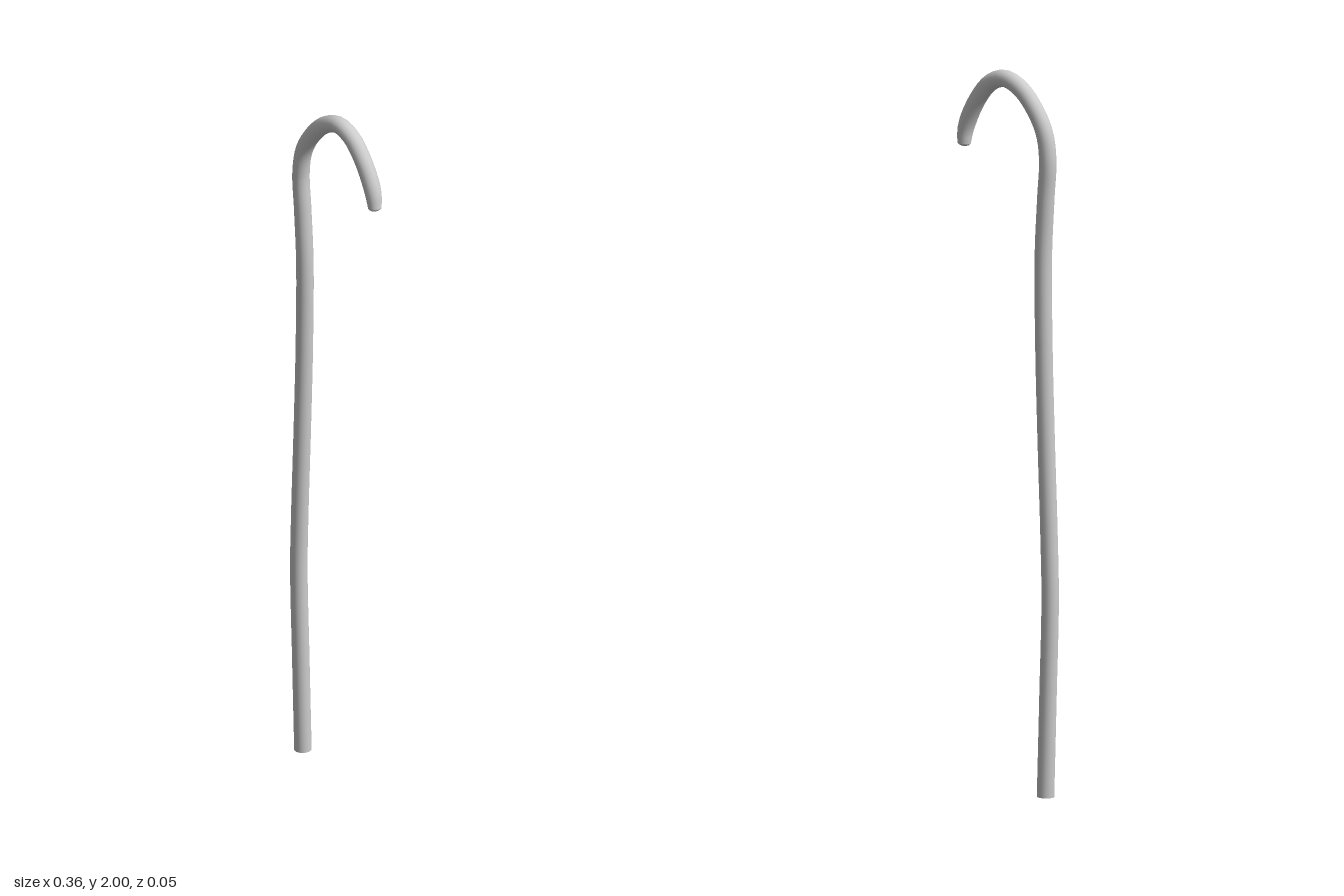
import * as THREE from 'three';

const RADIUS = 0.024;

export function createModel() {
  const group = new THREE.Group();
  const material = new THREE.MeshStandardMaterial({ color: 0xcccccc });
  const add = (name, geometry) => {
    const mesh = new THREE.Mesh(geometry, material);
    mesh.name = name;
    group.add(mesh);
    return mesh;
  };

  // Centre line: gently wavering shaft, then the crook
  const points = [
    [-0.14, 0], [-0.149, 0.28], [-0.157, 0.55], [-0.153, 0.72], [-0.142, 1.0],
    [-0.134, 1.25], [-0.132, 1.5], [-0.141, 1.66], [-0.148, 1.77],
    [-0.134, 1.845], [-0.092, 1.912], [-0.045, 1.955], [0.01, 1.975],
    [0.062, 1.957], [0.105, 1.912], [0.139, 1.855], [0.154, 1.815], [0.159, 1.78],
  ].map(([x, y]) => new THREE.Vector3(x, y, 0));
  const path = new THREE.CatmullRomCurve3(points, false, 'centripetal');
  const segments = 120, sides = 20;
  const shaft = new THREE.TubeGeometry(path, segments, RADIUS, sides);

  // Taper the last rings of the crook towards the tip
  const taperRings = 4, tipScale = 0.78;
  const position = shaft.attributes.position;
  const vertex = new THREE.Vector3();
  for (let ring = segments - taperRings; ring <= segments; ring++) {
    const centre = path.getPointAt(ring / segments);
    const t = (ring - segments + taperRings) / taperRings;
    const scale = 1 - (1 - tipScale) * t * t;
    for (let side = 0; side <= sides; side++) {
      const i = ring * (sides + 1) + side;
      vertex.fromBufferAttribute(position, i).sub(centre).multiplyScalar(scale).add(centre);
      position.setXYZ(i, vertex.x, vertex.y, vertex.z);
    }
  }
  add('caneShaft', shaft);

  // Flat foot
  const foot = add('foot', new THREE.CircleGeometry(RADIUS, sides));
  foot.rotation.x = Math.PI / 2;
  foot.position.copy(points[0]);

  // Shallow rounded tip of the crook
  const dome = new THREE.SphereGeometry(RADIUS * tipScale, sides, 6, 0, Math.PI * 2, 0, Math.PI / 2);
  dome.scale(1, 0.5, 1);
  const tip = add('crookTip', dome);
  tip.position.copy(points[points.length - 1]);
  tip.quaternion.setFromUnitVectors(new THREE.Vector3(0, 1, 0), path.getTangentAt(1));

  return group;
}
